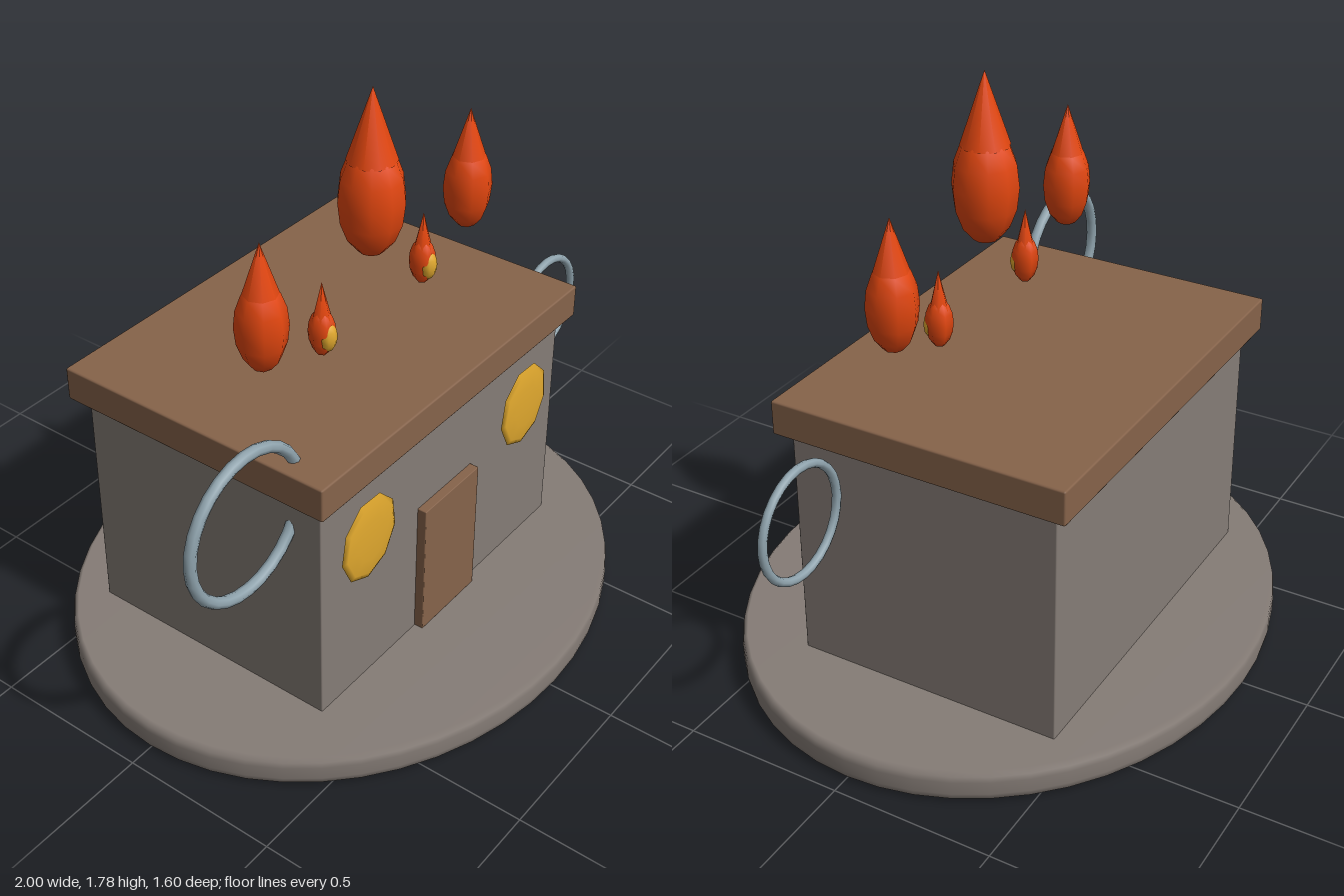
import * as THREE from 'three';
import { RoundedBoxGeometry } from 'three/addons/geometries/RoundedBoxGeometry.js';

const material = (name, color, extra = {}) => {
  const m = new THREE.MeshStandardMaterial({ color, ...extra });
  m.name = name;
  return m;
};

export function createModel() {
  const stone = material('stone', 0x857c76);
  const wood = material('wood', 0x86634a);
  const gold = material('gold', 0xe0a82e);
  const fire = material('fire', 0xe2460f);
  const steel = material('steel', 0x8fa3ad);

  const model = new THREE.Group();
  model.name = 'house';
  const add = (name, geometry, mat, x, y, z, parent = model) => {
    const mesh = new THREE.Mesh(geometry, mat);
    mesh.name = name;
    mesh.position.set(x, y, z);
    parent.add(mesh);
    return mesh;
  };

  // Box given by its min and max corners, with softly rounded edges
  const block = (name, mat, [x0, y0, z0], [x1, y1, z1], bevel) =>
    add(name, new RoundedBoxGeometry(x1 - x0, y1 - y0, z1 - z0, 1, bevel), mat,
      (x0 + x1) / 2, (y0 + y1) / 2, (z0 + z1) / 2);

  // Oval ground slab with a rounded rim
  const rim = [[0, 0], [0.785, 0], [0.797, 0.012], [0.8, 0.03], [0.8, 0.07], [0.797, 0.088], [0.785, 0.1], [0, 0.1]]
    .map(([r, y]) => new THREE.Vector2(r, y));
  add('base', new THREE.LatheGeometry(rim, 48), stone, 0.01, 0, 0).scale.x = 0.94 / 0.8;

  // House body
  block('walls', stone, [-0.585, 0.09, -0.48], [0.61, 0.87, 0.37], 0.004);
  block('roof', wood, [-0.625, 0.85, -0.525], [0.65, 0.957, 0.408], 0.006);
  block('door', wood, [-0.125, 0.1, 0.365], [0.15, 0.557, 0.4], 0.003);

  // Faceted, flattened gold windows
  for (const x of [-0.387, 0.413]) {
    const pane = new THREE.SphereGeometry(1, 9, 6);
    pane.rotateX(Math.PI / 2);
    pane.rotateZ(0.15);
    pane.scale(0.127, 0.142, 0.015);
    add('window', pane, gold, x, 0.632, 0.387);
  }

  // Upright rings on both sides
  const ring = (name, radius, tube, x, y, z) =>
    add(name, new THREE.TorusGeometry(radius, tube, 8, 28), steel, x, y, z);
  ring('rightRing', 0.222, 0.018, -0.762, 0.862, 0.262);
  ring('leftRing', 0.169, 0.0135, 0.813, 0.716, 0.202);

  // Floating flames: an egg-shaped body topped by a pointed cone
  const flame = (x, bottom, top, coneBase, r, ry, sides, glowing) => {
    const group = new THREE.Group();
    group.name = 'flame';
    group.position.set(x, 0, 0.09);
    model.add(group);
    const centre = bottom + ry;
    add('flameBody', new THREE.SphereGeometry(1, sides, 8), fire, 0, centre, 0, group).scale.set(r, ry, r);
    const height = top - coneBase;
    add('flameTip', new THREE.ConeGeometry(r * 0.74, height, sides), fire, 0, coneBase + height / 2, 0, group);
    if (glowing) {
      add('flameGlow', new THREE.SphereGeometry(1, 8, 6), gold, 0, bottom + 0.067, 0.022, group)
        .scale.set(0.029, 0.046, 0.026);
    }
  };
  flame(0.012, 1.26, 1.78, 1.56, 0.1, 0.178, 10, false);
  for (const side of [-1, 1]) {
    flame(0.012 + side * 0.487, 1.128, 1.525, 1.355, 0.076, 0.14, 8, false);
    flame(0.027 + side * 0.243, 1.038, 1.277, 1.155, 0.041, 0.077, 6, true);
  }

  return model;
}
